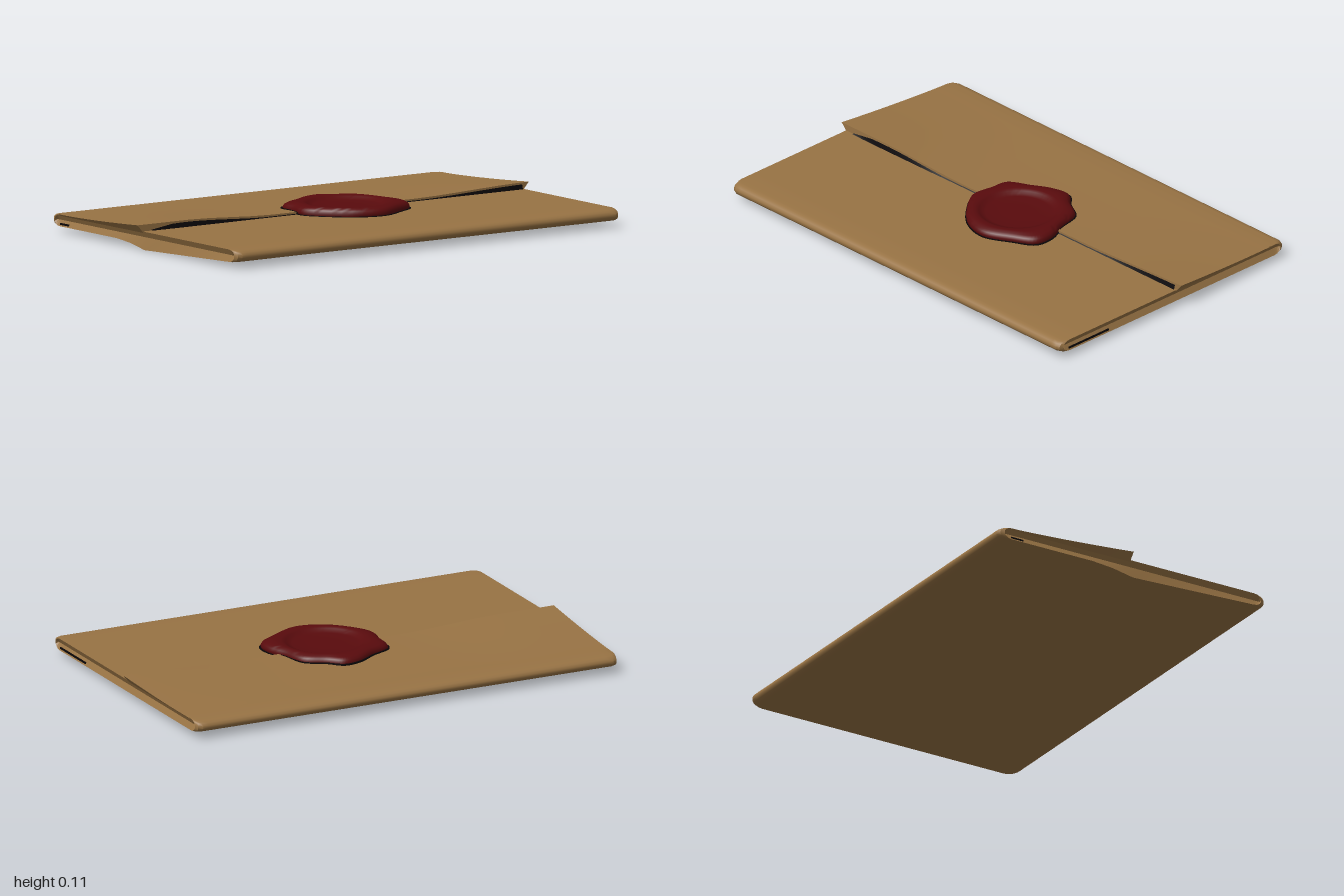
import * as THREE from 'three';
import { toCreasedNormals } from 'three/addons/utils/BufferGeometryUtils.js';

const paper = new THREE.MeshStandardMaterial({ color: 0x987344 });
paper.name = 'paper';
const wax = new THREE.MeshStandardMaterial({ color: 0x590b0d });
wax.name = 'wax';
const ink = new THREE.MeshStandardMaterial({ color: 0x0a0608 });
ink.name = 'ink';

const { smoothstep, lerp, clamp } = THREE.MathUtils;

// Joins rings of points [x, y, z] into a surface
function loft(rings, closed = true) {
  const n = rings[0].length;
  const index = [];
  for (let i = 0; i < rings.length - 1; i++) {
    for (let j = 0; j < (closed ? n : n - 1); j++) {
      const k = (j + 1) % n;
      const a = i * n + j, b = (i + 1) * n + j, c = i * n + k, d = (i + 1) * n + k;
      index.push(a, b, c, b, d, c);
    }
  }
  const geo = new THREE.BufferGeometry();
  geo.setAttribute('position', new THREE.Float32BufferAttribute(rings.flat(2), 3));
  geo.setIndex(index);
  geo.computeVertexNormals();
  return geo;
}

function part(name, geo, material, crease) {
  const mesh = new THREE.Mesh(toCreasedNormals(geo, crease), material);
  mesh.name = name;
  return mesh;
}

// Stations across the width, denser at the rounded corners
const stations = [-1, -0.993, -0.975];
for (let i = -9; i <= 9; i++) stations.push(i / 9.5);
stations.push(0.975, 0.993, 1);
const cornerInset = (s) => {
  const t = clamp((Math.abs(s) - 0.97) / 0.03, 0, 1);
  return 0.025 * (1 - Math.sqrt(1 - t * t));
};

// Folded sheet: rounded folds front and back, sagging on the right underside
function bodyGeometry() {
  const profile = [];
  const half = (sign) => {
    for (let i = 0; i <= 12; i++) profile.push([sign * (0.615 - 1.23 * i / 12), 0.053 + sign * 0.025]);
    for (let i = 1; i < 7; i++) {
      const a = Math.PI * i / 7;
      profile.push([-sign * (0.615 + 0.037 * Math.sin(a)), 0.053 + sign * 0.025 * Math.cos(a)]);
    }
  };
  half(1);
  half(-1);
  const ring = (s, pinch) => profile.map(([z, y]) => {
    const x = s * (pinch ? 0.96 : 0.974);
    const sag = 0.028 * smoothstep(-x, 0.55, 1.05) * (z > 0 ? 1 - z / 0.66 : 1 - smoothstep(-z, 0.02, 0.15));
    const low = y < 0.045 ? y - sag : y;
    return [x, pinch ? 0.053 : low, z * (1 - cornerInset(s) / 0.65) + 0.0075 * x];
  });
  return loft([ring(-1, true), ...stations.map((s) => ring(s, false)), ring(1, true)]);
}

// Height of the flap's free edge, with lifted corners
const edgeTop = (x) => 0.088 + 0.018 * (smoothstep(-x, 0.3, 0.75) + smoothstep(x, 0.4, 1.0));

// Flap folded forward over the back half, widening toward its free edge
function flapGeometry() {
  const rows = 10, zBack = -0.6, zEdge = -0.02;
  const ring = (s, pinch) => {
    const point = (t, top) => {
      const x = s * (top && !pinch ? lerp(0.974, 1, t) : 0.969);
      const y = top && !pinch ? lerp(0.077, edgeTop(x), Math.pow(t, 1.5)) : 0.07;
      return [x, y, lerp(zBack, zEdge, t) + 0.0075 * x * (1 - t)];
    };
    const pts = [];
    for (let i = rows; i >= 0; i--) pts.push(point(i / rows, true));
    for (let i = 0; i <= rows; i++) pts.push(point(i / rows, false));
    return pts;
  };
  return loft([ring(-1, true), ...stations.map((s) => ring(s, false)), ring(1, true)]);
}

// Dark opening beneath the free edge of the flap
function gapGeometry() {
  const rows = [];
  for (let i = 0; i <= 36; i++) {
    const x = lerp(-0.93, 0.965, i / 36);
    const open = smoothstep(x, -0.95, -0.8);
    const top = lerp(0.081, Math.max(0.081, edgeTop(x) - 0.008), open);
    rows.push([[x, 0.076, -0.012], [x, top, -0.018]]);
  }
  return loft(rows, false);
}

// Irregular outer edge of the wax, and rings blending it into a circle
const outline = [
  [0.094, -0.262], [0.153, -0.212], [0.233, -0.16], [0.265, -0.05], [0.297, 0.04],
  [0.289, 0.12], [0.2, 0.176], [0.083, 0.228], [-0.035, 0.197], [-0.13, 0.11],
  [-0.185, 0.02], [-0.174, -0.067], [-0.163, -0.153], [-0.067, -0.202], [0.019, -0.252],
].map(([x, z]) => new THREE.Vector3(x, 0, z));
const waxEdge = new THREE.CatmullRomCurve3(outline, true).getPoints(90).slice(0, 90);

function waxRing(radius, blend, height) {
  const cx = 0.055, cz = -0.005;
  return waxEdge.map((p) => {
    const a = Math.atan2(p.z - cz, p.x - cx);
    const z = lerp(cz + radius * Math.sin(a), p.z, blend);
    return [lerp(cx + radius * Math.cos(a), p.x, blend), height(z), z];
  });
}

// Wax seal: raised rim and stamped round hollow
function sealGeometry() {
  // [radius of inner circle, blend toward the outer edge, height]
  const levels = [
    [0.16, 0.9, 0.072], [0.16, 0.98, 0.08], [0.16, 1, 0.09], [0.16, 0.93, 0.102],
    [0.17, 0.75, 0.11], [0.17, 0.4, 0.114], [0.17, 0.1, 0.113], [0.162, 0, 0.108],
    [0.152, 0, 0.1], [0.135, 0, 0.097], [0.07, 0, 0.095], [0.0005, 0, 0.095],
  ];
  return loft(levels.map(([r, blend, y]) => waxRing(r, blend, () => y)));
}

// Thin dark rim where the wax meets the paper
function sealRimGeometry() {
  const height = (z) => (z < -0.02 ? 0.0885 : 0.0805);
  return loft([waxRing(0.16, 1.06, () => 0.077), waxRing(0.16, 1.06, height), waxRing(0.16, 0.9, height)]);
}

// Thin dark slit where the sheet's layers part at the side
function slit(name, x, y, zFrom, zTo) {
  const mesh = new THREE.Mesh(new THREE.BoxGeometry(0.006, 0.008, zTo - zFrom), ink);
  mesh.position.set(x, y, (zFrom + zTo) / 2);
  mesh.name = name;
  return mesh;
}

export function createModel() {
  const model = new THREE.Group();
  model.name = 'sealedLetter';
  model.add(
    part('foldedSheet', bodyGeometry(), paper, 0.7),
    part('flap', flapGeometry(), paper, 0.6),
    part('flapGap', gapGeometry(), ink, 0.6),
    part('waxSeal', sealGeometry(), wax, 1.2),
    part('waxSealRim', sealRimGeometry(), ink, 0.6),
    slit('leftSlit', 0.968, 0.037, 0.37, 0.6),
    slit('rightSlit', -0.968, 0.037, -0.6, -0.54),
  );
  return model;
}
